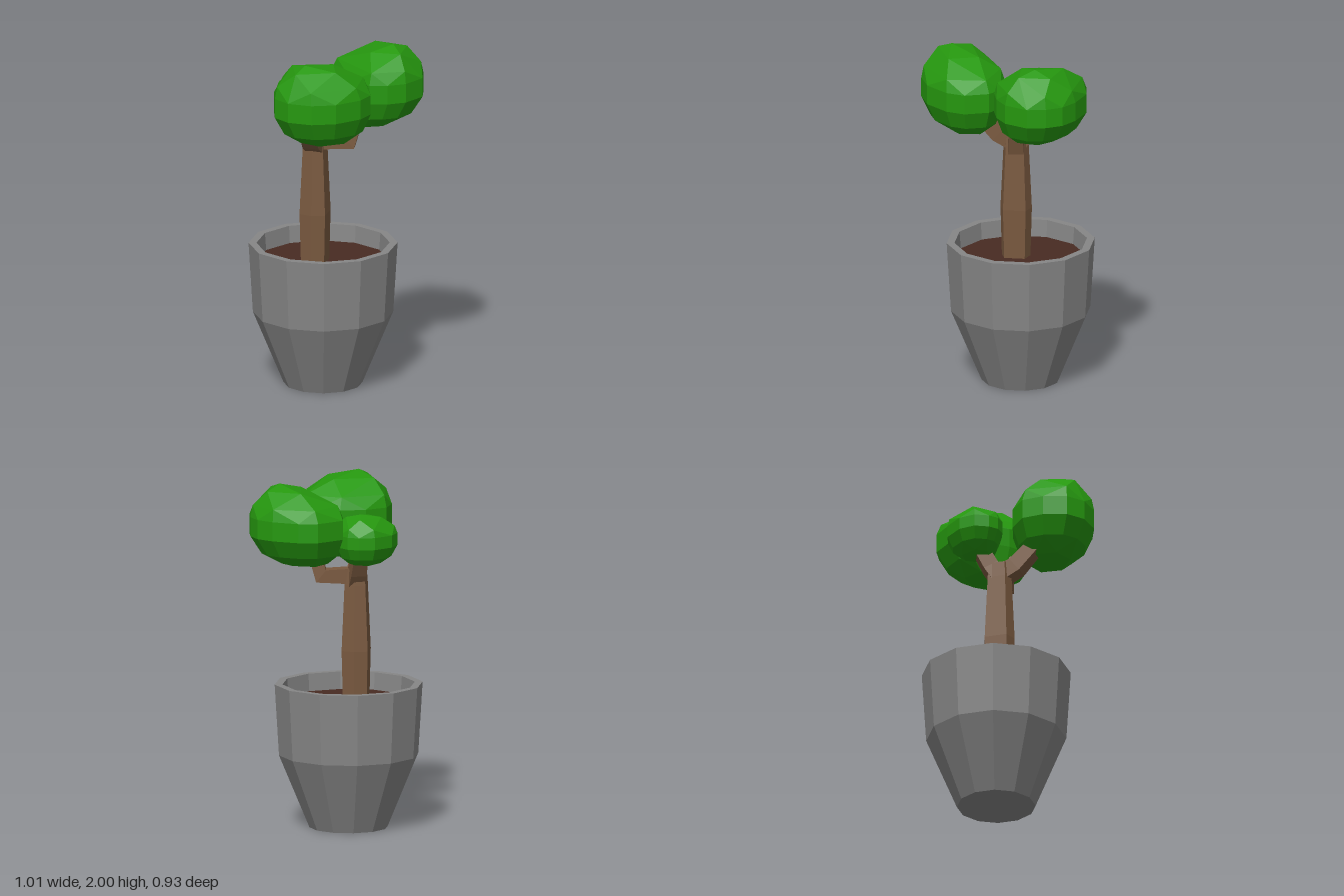
import * as THREE from 'three';
import { ConvexGeometry } from 'three/addons/geometries/ConvexGeometry.js';

const material = (name, color) => {
  const m = new THREE.MeshStandardMaterial({ color });
  m.name = name;
  return m;
};

// Faceted normals for low-poly surfaces
function flat(geometry) {
  const g = geometry.index ? geometry.toNonIndexed() : geometry;
  g.computeVertexNormals();
  return g;
}

// Skin a list of equal rings of points (counter-clockwise along the path), capped at both ends
function loft(rings) {
  const n = rings[0].length, pos = [];
  const tri = (...pts) => pts.forEach((p) => pos.push(p.x, p.y, p.z));
  for (let r = 0; r < rings.length - 1; r++) {
    const a = rings[r], b = rings[r + 1];
    for (let i = 0; i < n; i++) {
      const j = (i + 1) % n;
      tri(a[i], a[j], b[j]);
      tri(a[i], b[j], b[i]);
    }
  }
  const first = rings[0], last = rings[rings.length - 1];
  for (let i = 1; i < n - 1; i++) {
    tri(first[0], first[i + 1], first[i]);
    tri(last[0], last[i], last[i + 1]);
  }
  const g = new THREE.BufferGeometry();
  g.setAttribute('position', new THREE.Float32BufferAttribute(pos, 3));
  return flat(g);
}

// Four-sided limb following a bent path
function limb(path, radii) {
  const pts = path.map((p) => new THREE.Vector3(...p));
  const end = pts[pts.length - 1];
  const side = new THREE.Vector3(end.z - pts[0].z, 0, pts[0].x - end.x).normalize();
  return loft(pts.map((p, i) => {
    const t = pts[Math.min(i + 1, pts.length - 1)].clone().sub(pts[Math.max(i - 1, 0)]).normalize();
    const b = t.clone().cross(side);
    return [[1, 1], [-1, 1], [-1, -1], [1, -1]].map(([u, v]) =>
      p.clone().addScaledVector(side, u * radii[i]).addScaledVector(b, v * radii[i]));
  }));
}

// Faceted leaf ball: a plan outline shrunk towards a base point below and an apex above
function crown(outline, y0, y1, base, apex) {
  const rings = [[0, 0.5, 2], [0.14, 0.82, 1], [0.36, 1, 1], [0.6, 1, 1], [0.75, 0.92, 2], [0.93, 0.55, 3]];
  const pts = [new THREE.Vector3(apex[0], y1, apex[1])];
  rings.forEach(([t, s, step], k) => {
    const c = t < 0.5 ? base : apex;
    for (let i = k % step; i < outline.length; i += step) {
      const [x, z] = outline[i];
      pts.push(new THREE.Vector3(c[0] + (x - c[0]) * s, y0 + (y1 - y0) * t, c[1] + (z - c[1]) * s));
    }
  });
  return flat(new ConvexGeometry(pts));
}

export function createModel() {
  const model = new THREE.Group();
  model.name = 'pottedTree';
  const grey = material('pot grey', 0x868686);
  const soilBrown = material('soil brown', 0x482b22);
  const bark = material('bark brown', 0x79593f);
  const green = material('leaf green', 0x26980f);

  const add = (name, geometry, mat) => {
    const mesh = new THREE.Mesh(geometry, mat);
    mesh.name = name;
    model.add(mesh);
    return mesh;
  };
  const lathe = (profile) =>
    flat(new THREE.LatheGeometry(profile.map(([r, y]) => new THREE.Vector2(r, y)), 12));

  // Twelve-sided pot with a thick rim, filled with soil
  const pot = add('pot', lathe([[0, 0], [0.225, 0], [0.4, 0.42], [0.425, 0.83], [0.38, 0.83], [0.37, 0.71]]), grey);
  const soil = add('soil', lathe([[0.373, 0.73], [0, 0.73]]), soilBrown);
  for (const part of [pot, soil]) part.position.set(-0.055, 0, -0.04);

  // Six-sided trunk, widest a little above the rim
  const section = [[0.099, 0.007], [0.064, -0.064], [-0.007, -0.099], [-0.099, -0.007], [-0.064, 0.064], [0.007, 0.099]];
  add('trunk', loft([[0.7, 0.9], [1.02, 1], [1.4, 0.8], [1.49, 0.72]].map(([y, s]) =>
    section.map(([x, z]) => new THREE.Vector3(-0.105 + x * s, y, -0.045 + z * s)))), bark);

  // Three branches, the left one with a sharp elbow
  add('leftBranch', limb([[-0.09, 1.45, -0.035], [0.055, 1.45, 0.075], [0.1, 1.64, 0.11]], [0.045, 0.045, 0.033]), bark);
  add('rightBranch', limb([[-0.1, 1.42, -0.04], [-0.17, 1.47, 0.03], [-0.26, 1.6, 0.12]], [0.05, 0.048, 0.04]), bark);
  add('backBranch', limb([[-0.1, 1.42, -0.05], [-0.08, 1.48, -0.09], [-0.05, 1.62, -0.16]], [0.05, 0.045, 0.04]), bark);

  // Three leaf crowns
  add('rightCrown', crown([[-0.505, 0.18], [-0.44, 0.06], [-0.34, -0.02], [-0.2, -0.01], [-0.07, 0.06], [0.04, 0.17],
    [0.06, 0.27], [0, 0.4], [-0.1, 0.455], [-0.27, 0.465], [-0.4, 0.41], [-0.49, 0.3]],
  1.53, 2, [-0.18, 0.22], [-0.34, 0.24]), green);
  add('leftCrown', crown([[0.07, -0.15], [0.13, -0.23], [0.31, -0.235], [0.4, -0.17], [0.48, -0.03], [0.505, 0.08],
    [0.48, 0.18], [0.42, 0.27], [0.28, 0.32], [0.17, 0.3], [0.08, 0.25], [0.05, 0.1]],
  1.54, 2, [0.14, 0.04], [0.31, 0.13]), green);
  add('backCrown', crown([[-0.25, -0.13], [-0.255, -0.19], [-0.23, -0.27], [-0.15, -0.325], [-0.02, -0.335], [0.06, -0.29],
    [0.095, -0.23], [0.1, -0.14], [0.06, -0.05], [-0.05, -0.02], [-0.14, -0.05], [-0.21, -0.08]],
  1.54, 1.83, [-0.06, -0.17], [-0.03, -0.19]), green);

  return model;
}
